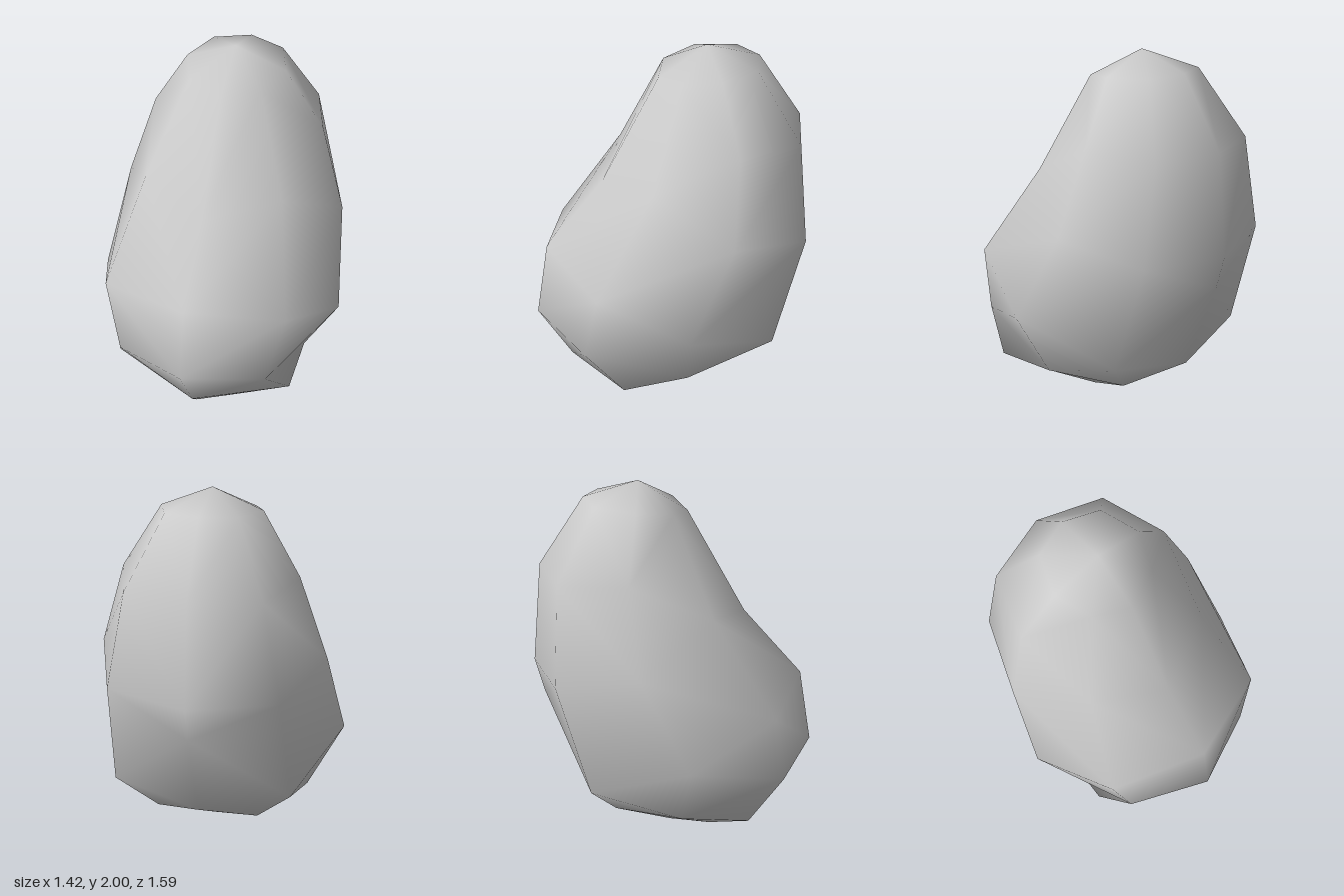
import * as THREE from 'three';

// Half of each uneven ring, bottom to top, as [x, y, z]:
// front, front corner, side, back corner, back
const RINGS = [
  [[0, 0.04, 0.53], [0.2, 0.04, 0.42], [0.32, 0.07, 0.2], [0.2, 0.03, -0.02], [0, 0, -0.07]],
  [[0, 0.12, 0.61], [0.52, 0.19, 0.41], [0.51, 0.2, 0.04], [0.29, 0.15, -0.33], [0, 0.26, -0.54]],
  [[0, 0.45, 0.8], [0.43, 0.4, 0.61], [0.71, 0.57, 0.08], [0.5, 0.36, -0.46], [0, 0.77, -0.74]],
  [[0, 0.87, 0.73], [0.52, 0.8, 0.55], [0.64, 1.08, -0.18], [0.47, 0.98, -0.64], [0, 0.96, -0.79]],
  [[0, 1.25, 0.4], [0.39, 1.33, 0.21], [0.49, 1.55, -0.24], [0.37, 1.52, -0.62], [0, 1.53, -0.74]],
  [[0, 1.83, 0.08], [0.2, 1.86, 0], [0.28, 1.89, -0.2], [0.2, 1.9, -0.42], [0, 1.91, -0.49]],
];
const SIDES = 8;

export function createModel() {
  const positions = [], index = [];

  // Each half ring is mirrored to the other side
  for (const half of RINGS) {
    const mirrored = half.slice(1, 4).reverse().map(([x, y, z]) => [-x, y, z]);
    positions.push(...half.flat(), ...mirrored.flat());
  }

  // Walls between the rings, with alternating diagonals
  for (let r = 0; r < RINGS.length - 1; r++) {
    for (let i = 0; i < SIDES; i++) {
      const j = (i + 1) % SIDES;
      const a = r * SIDES + i, b = r * SIDES + j, c = b + SIDES, d = a + SIDES;
      if (i % 2 === 0) index.push(a, b, c, a, c, d);
      else index.push(a, b, d, b, c, d);
    }
  }

  // Crown and underside
  const bottom = positions.length / 3, top = bottom + 1;
  const last = (RINGS.length - 1) * SIDES;
  positions.push(0, 0.02, 0.23, 0, 2, -0.19);
  for (let i = 0; i < SIDES; i++) {
    const j = (i + 1) % SIDES;
    index.push(j, i, bottom, last + i, last + j, top);
  }

  const geometry = new THREE.BufferGeometry();
  geometry.setAttribute('position', new THREE.Float32BufferAttribute(positions, 3));
  geometry.setIndex(index);
  geometry.computeVertexNormals();

  const boulder = new THREE.Mesh(geometry, new THREE.MeshStandardMaterial({ color: 0xcccccc }));
  boulder.name = 'boulder';
  const group = new THREE.Group();
  group.name = 'rock';
  group.add(boulder);
  return group;
}
